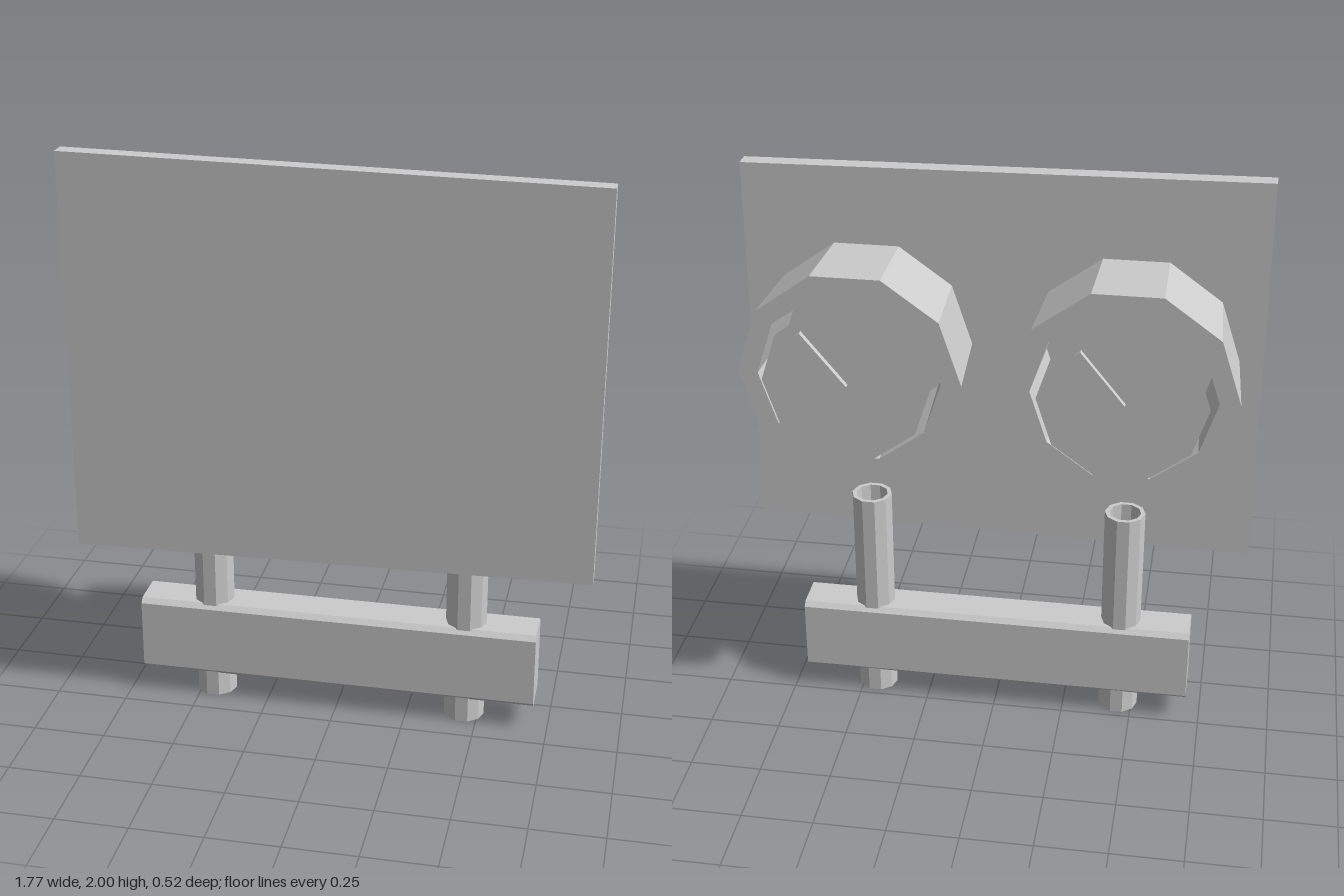
import * as THREE from 'three';

export function createModel() {
  const model = new THREE.Group();
  const grey = new THREE.MeshStandardMaterial({ color: 0xcccccc, flatShading: true });
  grey.name = 'plain grey';

  const add = (name, geometry, parent = model) => {
    const mesh = new THREE.Mesh(geometry, grey);
    mesh.name = name;
    parent.add(mesh);
    return mesh;
  };

  // Ten-sided turned part, with a corner on each side of the x axis
  const turned = (profile) => new THREE.LatheGeometry(
    profile.map(([r, y]) => new THREE.Vector2(r, y)), 10, Math.PI / 2);

  // Flat outline pushed out along z
  const slab = (points, depth) => new THREE.ExtrudeGeometry(
    new THREE.Shape(points.map(([x, y]) => new THREE.Vector2(x, y))),
    { depth, bevelEnabled: false });

  // Front panel, slightly taller at its right end
  add('frontPanel', slab([[-0.885, 0.613], [0.885, 0.637], [0.885, 1.975], [-0.885, 2]], 0.058)
    .translate(0, 0, 0.204));

  // Crossbar with chamfered long edges
  const h = 0.139, d = 0.079, c = 0.017;
  const bar = slab([
    [-d + c, -h], [d - c, -h], [d, -h + c], [d, h - c],
    [d - c, h], [-d + c, h], [-d, h - c], [-d, -h + c],
  ], 1.4);
  bar.translate(0, 0, -0.7).rotateY(Math.PI / 2).translate(0, 0.228, 0.092);
  add('crossbar', bar);

  for (const side of [-1, 1]) {
    const x = side * 0.45;
    const label = side > 0 ? 'left' : 'right';

    // Hollow support post
    add(label + 'Post', turned([
      [0.071, 0], [0.071, 0.81], [0.056, 0.81], [0.056, 0], [0.071, 0],
    ]).translate(x, 0, 0.092));

    // Gauge on the back: flared ring, floating dial and needle
    const gauge = new THREE.Group();
    gauge.name = label + 'Gauge';
    gauge.position.set(x, 1.396, 0);
    model.add(gauge);

    add('housing', turned([
      [0.355, -0.143], [0.373, 0.183], [0.305, 0.183], [0.29, -0.143], [0.355, -0.143],
    ]).rotateX(-Math.PI / 2), gauge);

    add('dial', turned([
      [0, 0.202], [0.261, 0.202], [0.279, 0.228], [0, 0.228],
    ]).rotateX(-Math.PI / 2), gauge);

    const needle = add('needle', new THREE.BoxGeometry(0.232, 0.024, 0.02), gauge);
    needle.position.set(0.072, 0.092, -0.253);
    needle.rotation.z = 0.888;
  }

  return model;
}
